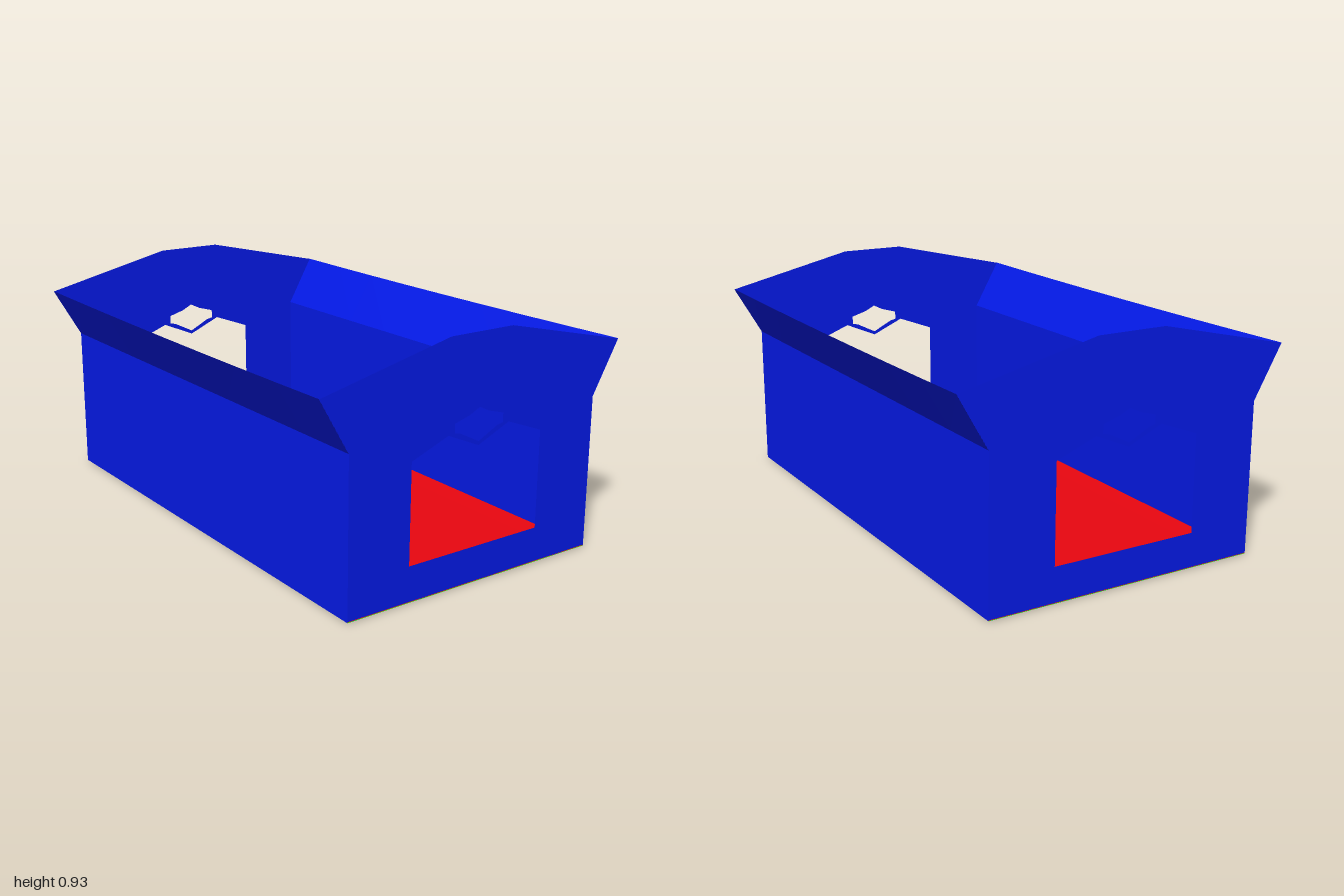
import * as THREE from 'three';

const material = (color) =>
  new THREE.MeshStandardMaterial({ color, side: THREE.DoubleSide, flatShading: true });

// Closed symmetric outline from the points of its right half, bottom to top
function mirrored(half) {
  const left = half.filter(([x]) => x !== 0).reverse().map(([x, y]) => [-x, y]);
  return [...half, ...left].map(([x, y]) => new THREE.Vector2(x, y));
}

// Floor sheet whose middle dips by the given sag
function floorSheet(turn, edgeY, sag) {
  const sheet = new THREE.PlaneGeometry(2, 1.13, 12, 12).rotateX(turn);
  const p = sheet.attributes.position;
  for (let i = 0; i < p.count; i++) {
    const inner = Math.abs(p.getX(i)) < 0.9 && Math.abs(p.getZ(i)) < 0.5;
    p.setY(i, inner ? edgeY - sag : edgeY);
  }
  sheet.computeVertexNormals();
  return sheet;
}

export function createModel() {
  const model = new THREE.Group();
  const blue = material(0x041aea);
  const add = (name, geometry, mat) => {
    const mesh = new THREE.Mesh(geometry, mat);
    mesh.name = name;
    model.add(mesh);
    return mesh;
  };

  // End walls: gabled sheet with a notched doorway and a small window, leaning out a touch
  const gable = new THREE.Shape(mirrored([[0.565, 0.003], [0.565, 0.602], [0.683, 0.807], [0.14, 0.932]]));
  gable.holes.push(
    new THREE.Path(mirrored([[0.3, 0.14], [0.3, 0.522], [0.14, 0.583], [0, 0.522]])),
    new THREE.Path(mirrored([[0, 0.537], [0.085, 0.58], [0.112, 0.586], [0.112, 0.621], [0.045, 0.64], [0, 0.662]]))
  );
  for (const s of [1, -1]) {
    const sheet = new THREE.ShapeGeometry(gable).rotateX(0.003);
    const end = add(s > 0 ? 'leftEndWall' : 'rightEndWall', sheet, blue);
    end.rotation.y = s * Math.PI / 2;
    end.position.x = s * 0.997;
  }

  // Long walls: upright panel with an outward flare and a slightly sagging rim
  const profile = [[0.683, 0.808], [0.565, 0.603], [0.565, 0.003]];
  for (const s of [1, -1]) {
    const wall = new THREE.PlaneGeometry(2, 1, 8, 2);
    const p = wall.attributes.position;
    for (let i = 0; i < p.count; i++) {
      const [z, y] = profile[Math.floor(i / 9)];
      const x = p.getX(i);
      const sag = y > 0.7 ? 0.006 * (1 - x * x) : 0;
      p.setXYZ(i, x * s, y - sag, z * s);
    }
    wall.computeVertexNormals();
    add(s > 0 ? 'frontWall' : 'backWall', wall, blue);
  }

  // Floor: red upper face and green underside
  add('floorTop', floorSheet(-Math.PI / 2, 0.005, 0.002), material(0xea0610));
  add('floorUnderside', floorSheet(Math.PI / 2, 0.003, 0.003), material(0x0cea06));

  return model;
}
